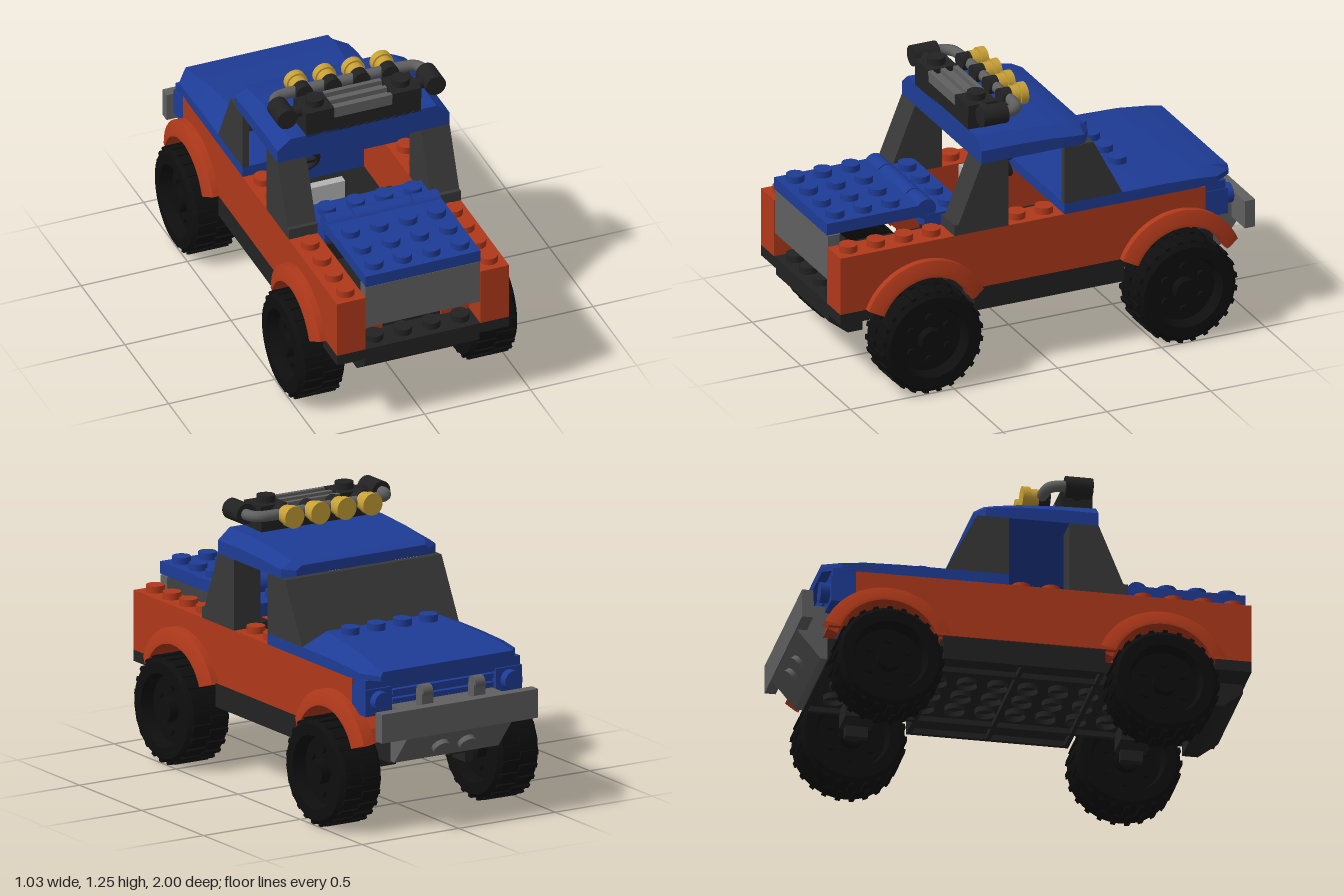
import * as THREE from 'three';
import { toCreasedNormals } from 'three/addons/utils/BufferGeometryUtils.js';

const mat = (color) => new THREE.MeshStandardMaterial({ color, side: THREE.DoubleSide });

export function createModel() {
  const root = new THREE.Group();
  const body = new THREE.Group();
  body.name = 'body';
  body.position.x = -0.007;
  root.add(body);

  const blue = mat(0x1e3c96), orange = mat(0xb0391a), black = mat(0x222222), rubber = mat(0x0e0e0e);
  const smoke = mat(0x383838), grey = mat(0x606060), gold = mat(0xc8a036), light = mat(0xb4b4b4);
  const studX = [-0.2025, -0.0675, 0.0675, 0.2025];

  const add = (name, geo, m, parent = body) => {
    const mesh = new THREE.Mesh(geo, m);
    mesh.name = name;
    parent.add(mesh);
    return mesh;
  };
  const box = (name, m, x0, x1, y0, y1, z0, z1) =>
    add(name, new THREE.BoxGeometry(x1 - x0, y1 - y0, z1 - z0), m)
      .position.set((x0 + x1) / 2, (y0 + y1) / 2, (z0 + z1) / 2);
  const studs = (name, m, xs, zs, y) => {
    for (const x of xs) for (const z of zs)
      add(name, new THREE.CylinderGeometry(0.041, 0.041, 0.036, 20), m).position.set(x, y + 0.013, z);
  };
  // cylinder lying along x or z
  const rod = (name, m, axis, r, len, x, y, z, parent = body) => {
    const g = new THREE.CylinderGeometry(r, r, len, 24);
    if (axis === 'x') g.rotateZ(Math.PI / 2); else g.rotateX(Math.PI / 2);
    add(name, g, m, parent).position.set(x, y, z);
  };
  // side outline of [z, y] points, extruded from x0 to x1
  const profile = (name, m, pts, x0, x1) => {
    const shape = new THREE.Shape(pts.map(([z, y]) => new THREE.Vector2(-z, y)));
    const g = new THREE.ExtrudeGeometry(shape, { depth: x1 - x0, bevelEnabled: false });
    add(name, g.rotateY(Math.PI / 2).translate(x0, 0, 0), m);
  };
  // panel lofted through [z, bottom, edge, top, half width, half top width], rear to nose
  const panel = (name, m, rows) => {
    const pos = [], idx = [], n = 6;
    rows.forEach(([z, b, e, t, w, tw], i) => {
      pos.push(-w, b, z, w, b, z, w, e, z, tw, t, z, -tw, t, z, -w, e, z);
      if (i) for (let j = 0; j < n; j++) {
        const a = (i - 1) * n + j, c = (i - 1) * n + (j + 1) % n;
        idx.push(a, a + n, c, c, a + n, c + n);
      }
    });
    const last = (rows.length - 1) * n;
    for (let j = 1; j < n - 1; j++) idx.push(0, j, j + 1, last, last + j + 1, last + j);
    const g = new THREE.BufferGeometry();
    g.setAttribute('position', new THREE.Float32BufferAttribute(pos, 3));
    g.setIndex(idx);
    add(name, toCreasedNormals(g, 0.3), m);
  };

  const axles = [0.6, -0.625];

  // Body sides with round wheel openings
  const arch = (zc) => Array.from({ length: 17 }, (_, i) => {
    const a = 0.5 + (Math.PI - 1) * i / 16;
    return [zc + 0.23 * Math.cos(a), 0.3 + 0.23 * Math.sin(a)];
  });
  const side = [[1, 0.68], [1, 0.41], ...arch(axles[0]), ...arch(axles[1]),
    [-0.88, 0.41], [-0.86, 0.47], [-0.76, 0.57], [-0.76, 0.68]];
  for (const s of [-1, 1]) {
    profile('bodySide', orange, side, s < 0 ? -0.405 : 0.27, s < 0 ? -0.27 : 0.405);
    studs('sideStud', orange, [s * 0.3375], [0.93, 0.797, 0.663, 0.53, 0.12, -0.013], 0.68);

    // Sloped pillar behind the door
    profile('rearPillar', smoke, [[0.45, 0.68], [0.19, 0.68], [0.19, 1], [0.32, 1], [0.43, 0.73], [0.45, 0.73]],
      s < 0 ? -0.405 : 0.27, s < 0 ? -0.27 : 0.405);

    // Windscreen cheeks
    profile('windscreenSide', smoke, [[-0.08, 0.73], [-0.36, 0.73], [-0.22, 1], [-0.08, 1]],
      s < 0 ? -0.405 : 0.375, s < 0 ? -0.375 : 0.405);

    // Flared arches and wheels
    for (const z of axles) {
      const flare = [[0.23, 0.38], [0.30, 0.38], [0.30, 0.435], [0.245, 0.46], [0.23, 0.46], [0.23, 0.38]]
        .map(([r, x]) => new THREE.Vector2(r, x));
      const g = new THREE.LatheGeometry(flare, 28, Math.PI * 1.5 - 1.18, 2.36).rotateZ(-Math.PI / 2);
      if (s < 0) g.rotateY(Math.PI);
      add('wheelArch', toCreasedNormals(g, 0.5), orange).position.set(0, 0.3, z);

      const wheel = new THREE.Group();
      wheel.name = 'wheel';
      wheel.position.set(s * 0.407, 0.243, z);
      root.add(wheel);
      const tyre = [[0.15, -0.06], [0.165, -0.106], [0.215, -0.106], [0.235, -0.085], [0.235, 0.085],
        [0.215, 0.106], [0.165, 0.106], [0.15, 0.06], [0.15, -0.06]].map(([r, x]) => new THREE.Vector2(r, x));
      add('tyre', toCreasedNormals(new THREE.LatheGeometry(tyre, 40).rotateZ(Math.PI / 2), 0.4), rubber, wheel);
      for (let i = 0; i < 48; i++) {
        const lug = new THREE.BoxGeometry(0.09, 0.02, 0.022).translate(i % 2 ? 0.045 : -0.045, 0.233, 0);
        add('tread', lug.rotateX(i * Math.PI / 24), rubber, wheel);
      }
      rod('rim', rubber, 'x', 0.152, 0.1, 0, 0, 0, wheel);
      rod('hub', rubber, 'x', 0.055, 0.19, 0, 0, 0, wheel);
      for (let i = 0; i < 6; i++)
        rod('rimPeg', rubber, 'x', 0.02, 0.13, 0, 0.1 * Math.cos(i * Math.PI / 3), 0.1 * Math.sin(i * Math.PI / 3), wheel);
      rod('axlePin', black, 'x', 0.04, 0.1, s * 0.29, 0.243, z);
      const bx = s * 0.205;
      box('axleMount', black, bx - 0.07, bx + 0.07, 0.24, 0.32, z - 0.07, z + 0.07);
      box('axleFoot', black, s * 0.255 - 0.02, s * 0.255 + 0.02, 0.19, 0.29, z - 0.05, z + 0.05);
    }

    // Headlights
    box('lampBlock', blue, s * 0.3375 - 0.0675, s * 0.3375 + 0.0675, 0.53, 0.65, -0.87, -0.76);
    rod('headlight', blue, 'z', 0.045, 0.05, s * 0.3375, 0.595, -0.885);

    // Bumper clips, tail corner blocks
    box('bumperClip', grey, s * 0.135 - 0.03, s * 0.135 + 0.03, 0.55, 0.62, -0.95, -0.9);
    rod('bumperClipTop', grey, 'x', 0.03, 0.05, s * 0.135, 0.625, -0.925);
    box('tailBlock', orange, s * 0.205 - 0.0675, s * 0.205 + 0.0675, 0.41, 0.52, 0.74, 0.87);
  }

  // Chassis with ribbed underside
  box('chassisSpine', black, -0.27, 0.27, 0.325, 0.41, -0.86, 0.9);
  box('chassisSill', black, -0.4, 0.4, 0.325, 0.41, -0.37, 0.35);
  for (const s of [-1, 1]) {
    box('chassisRim', black, s * 0.26 - 0.01, s * 0.26 + 0.01, 0.3, 0.33, -0.86, 0.85);
    box('sillRim', black, s * 0.39 - 0.01, s * 0.39 + 0.01, 0.3, 0.33, -0.37, 0.35);
  }
  for (const z of [-0.85, -0.36, -0.01, 0.34, 0.84]) {
    const w = Math.abs(z) < 0.4 ? 0.4 : 0.27;
    box('chassisRib', black, -w, w, 0.3, 0.33, z - 0.01, z + 0.01);
  }
  for (let i = 0; i < 12; i++) for (const x of [-0.135, 0, 0.135])
    add('underTube', new THREE.CylinderGeometry(0.045, 0.045, 0.03, 16, 1, true), black)
      .position.set(x, 0.315, -0.75 + i * 0.135);

  // Rear step, tailgate and bed cover
  box('rearStep', black, -0.405, 0.405, 0.36, 0.41, 0.84, 1);
  profile('rearUnderSlope', black, [[0.99, 0.38], [0.99, 0.32], [0.9, 0.25], [0.83, 0.25], [0.83, 0.38]], -0.27, 0.27);
  studs('stepStud', black, studX, [0.93], 0.41);
  box('stepBacking', black, -0.14, 0.14, 0.41, 0.52, 0.74, 0.86);
  box('tailgate', grey, -0.27, 0.27, 0.52, 0.73, 0.94, 0.995);
  box('bedCover', blue, -0.27, 0.27, 0.735, 0.79, 0.55, 1);
  studs('coverStud', blue, studX, [0.93, 0.797, 0.663], 0.79);
  for (const x of [-0.205, 0, 0.205])
    rod('coverHinge', blue, 'x', 0.047, x ? 0.125 : 0.27, x, 0.765, 0.52);
  box('hingePlate', blue, -0.27, 0.27, 0.68, 0.74, 0.32, 0.53);
  studs('hingeStud', blue, studX, [0.39], 0.74);

  // Cab interior
  box('seatBase', black, -0.27, 0.27, 0.41, 0.5, -0.02, 0.3);
  box('seatBack', light, -0.27, 0, 0.5, 0.675, 0.07, 0.11);
  const steering = new THREE.Group();
  steering.name = 'steeringWheel';
  steering.position.set(-0.135, 0.72, -0.035);
  steering.rotation.x = 0.4;
  body.add(steering);
  add('steeringRim', new THREE.TorusGeometry(0.065, 0.012, 8, 24), black, steering);
  add('steeringSpoke', new THREE.BoxGeometry(0.12, 0.02, 0.015), black, steering);
  rod('steeringColumn', black, 'z', 0.015, 0.1, 0, 0, -0.05, steering);
  box('bulkhead', blue, -0.27, 0.27, 0.41, 0.69, -0.4, -0.33);

  // Windscreen and its base
  box('cowl', blue, -0.405, 0.405, 0.68, 0.73, -0.36, -0.08);
  profile('windscreen', smoke, [[-0.36, 0.73], [-0.22, 1], [-0.19, 1], [-0.33, 0.73]], -0.405, 0.405);

  // Roof and bonnet
  panel('roof', blue, [[0.32, 1, 1.06, 1.11, 0.405, 0.345], [0.15, 1, 1.06, 1.105, 0.405, 0.345],
    [-0.02, 1, 1.055, 1.095, 0.405, 0.345], [-0.13, 1, 1.045, 1.08, 0.405, 0.345],
    [-0.18, 1, 1.04, 1.07, 0.4, 0.345], [-0.22, 1.01, 1.035, 1.055, 0.345, 0.32]]);
  panel('bonnet', blue, [[-0.36, 0.68, 0.73, 0.785, 0.405, 0.28], [-0.55, 0.68, 0.73, 0.775, 0.405, 0.3],
    [-0.72, 0.68, 0.725, 0.76, 0.405, 0.32], [-0.82, 0.685, 0.715, 0.745, 0.4, 0.335],
    [-0.9, 0.69, 0.71, 0.73, 0.345, 0.335]]);
  studs('bonnetStud', blue, studX, [-0.43], 0.78);

  // Grille
  box('noseBeam', blue, -0.4, 0.4, 0.64, 0.69, -0.86, -0.7);
  box('grilleBack', blue, -0.27, 0.27, 0.41, 0.65, -0.84, -0.76);
  for (const y of [0.54, 0.58, 0.62]) box('grilleSlat', blue, -0.26, 0.26, y - 0.011, y + 0.011, -0.865, -0.83);

  // Front bumper with skid plate
  box('bumperBar', grey, -0.405, 0.405, 0.44, 0.57, -1, -0.95);
  box('bumperShelf', grey, -0.27, 0.27, 0.5, 0.56, -0.95, -0.84);
  profile('skidPlate', grey, [[-0.84, 0.5], [-0.84, 0.31], [-0.89, 0.31], [-0.995, 0.44], [-0.96, 0.5]], -0.27, 0.27);
  for (const x of [-0.0675, 0.0675]) {
    const g = new THREE.CylinderGeometry(0.04, 0.04, 0.04, 20).rotateX(-2.25);
    add('skidStud', g, grey).position.set(x, 0.372, -0.945);
  }

  // Roof light bar
  box('rackBase', black, -0.27, 0.27, 1.1, 1.17, 0.18, 0.32);
  for (const s of [-1, 1]) {
    box('rackEnd', black, s * 0.205 - 0.067, s * 0.205 + 0.067, 1.17, 1.222, 0.18, 0.32);
    studs('rackStud', black, [s * 0.2025], [0.25], 1.222);
    rod('rackArm', black, 'x', 0.026, 0.1, s * 0.3, 1.2, 0.25);
    rod('rackSocket', black, 'z', 0.047, 0.12, s * 0.35, 1.2, 0.24);
  }
  box('rackTile', grey, -0.135, 0.135, 1.17, 1.2, 0.18, 0.32);
  for (const z of [0.19, 0.25, 0.31]) box('rackTileSlat', grey, -0.135, 0.135, 1.2, 1.222, z - 0.011, z + 0.011);
  const bar = new THREE.CatmullRomCurve3([[-0.35, 0.2], [-0.35, 0.15], [-0.325, 0.115], [-0.28, 0.105], [0, 0.105],
    [0.28, 0.105], [0.325, 0.115], [0.35, 0.15], [0.35, 0.2]].map(([x, z]) => new THREE.Vector3(x, 1.2, z)));
  add('lightBar', new THREE.TubeGeometry(bar, 60, 0.025, 12), grey);
  for (const x of studX) {
    rod('lampHolder', black, 'z', 0.04, 0.065, x, 1.2, 0.108);
    rod('lamp', gold, 'z', 0.042, 0.05, x, 1.2, 0.065);
    rod('lampLens', gold, 'z', 0.05, 0.035, x, 1.2, 0.034);
  }
  return root;
}
